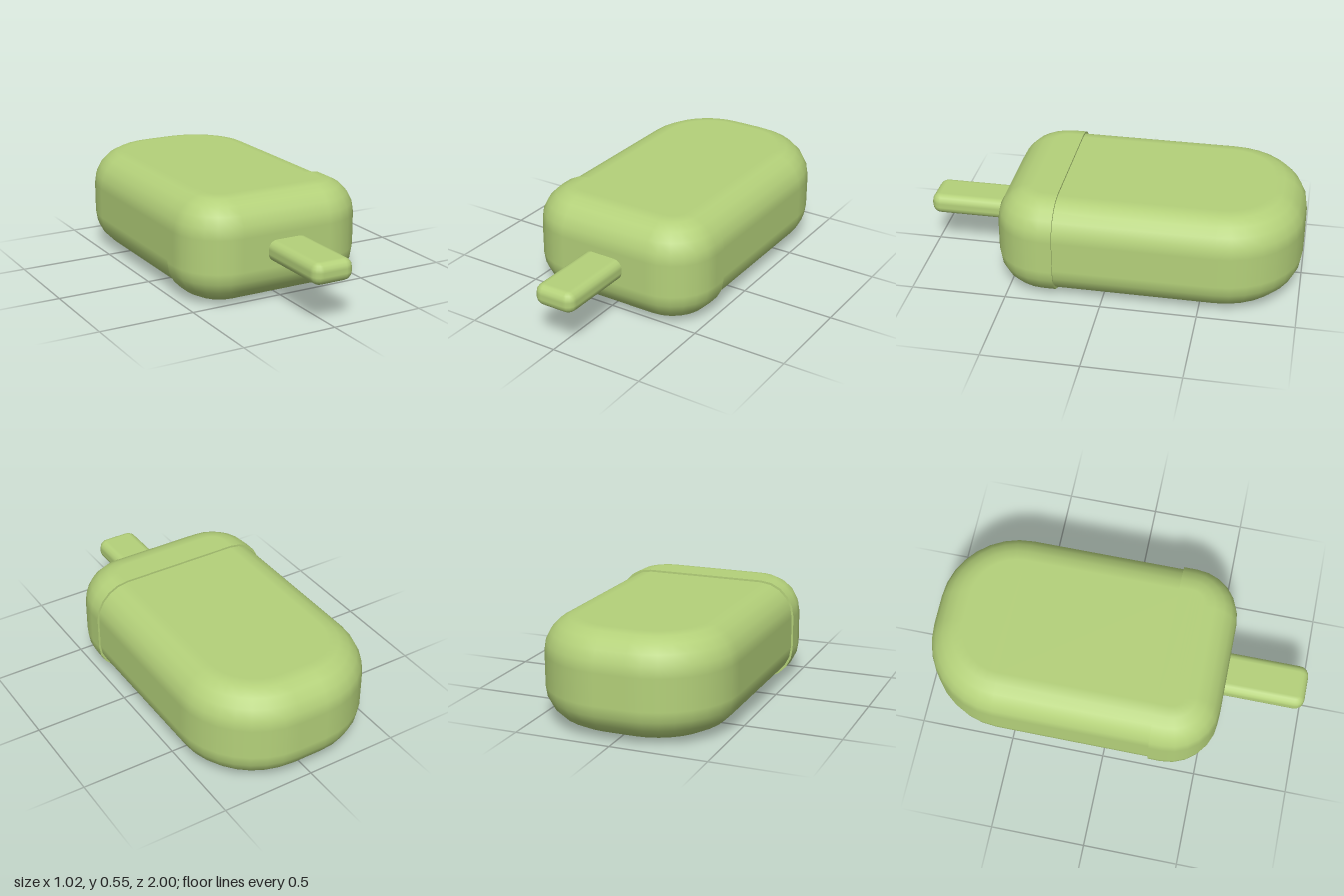
import * as THREE from 'three';

// Slab from z = 0 to z = L with a rounded far end.
// w, h: half width and half height; R: corner radius in plan; r: radius of the top and bottom edges.
function roundedSlab(w, h, L, R, r, planSteps, edgeSteps) {
  const pos = [], nor = [], idx = [];
  const quad = (a, b, c, d) => idx.push(a, b, c, a, c, d);
  const n = 2 * planSteps + 3; // index of the last point in each ring

  // Heights and plan insets, bottom to top
  const rows = [];
  for (const side of [-1, 1]) {
    for (let k = 0; k <= edgeSteps; k++) {
      const t = (side < 0 ? k - edgeSteps : k) / edgeSteps * Math.PI / 2;
      rows.push({ y: side * (h - r) + r * Math.sin(t), inset: r * (1 - Math.cos(t)), t });
    }
  }

  // U-shaped rings with matching smooth normals
  for (const { y, inset, t } of rows) {
    const add = (x, z, a) => {
      pos.push(x, y, z);
      nor.push(Math.cos(a) * Math.cos(t), Math.sin(t), Math.sin(a) * Math.cos(t));
    };
    add(w - inset, 0, 0);
    for (const side of [1, -1]) {
      for (let k = 0; k <= planSteps; k++) {
        const a = (k / planSteps + (side < 0 ? 1 : 0)) * Math.PI / 2;
        add(side * (w - R) + (R - inset) * Math.cos(a), L - R + (R - inset) * Math.sin(a), a);
      }
    }
    add(-(w - inset), 0, Math.PI);
  }
  const at = (i, j) => i * (n + 1) + j;
  const last = rows.length - 1;
  for (let i = 0; i < last; i++) {
    for (let j = 0; j < n; j++) quad(at(i, j), at(i + 1, j), at(i + 1, j + 1), at(i, j + 1));
  }

  // Flat top and bottom
  for (let j = 0; j < planSteps + 1; j++) {
    quad(at(last, j + 1), at(last, j), at(last, n - j), at(last, n - 1 - j));
    quad(at(0, n - 1 - j), at(0, n - j), at(0, j), at(0, j + 1));
  }

  // Flat end at z = 0
  const base = pos.length / 3;
  for (const { y, inset } of rows) {
    pos.push(w - inset, y, 0, inset - w, y, 0);
    nor.push(0, 0, -1, 0, 0, -1);
  }
  for (let i = 0; i < last; i++) {
    const b = base + 2 * i;
    quad(b, b + 1, b + 3, b + 2);
  }

  const geo = new THREE.BufferGeometry();
  geo.setAttribute('position', new THREE.Float32BufferAttribute(pos, 3));
  geo.setAttribute('normal', new THREE.Float32BufferAttribute(nor, 3));
  geo.setIndex(idx);
  return geo;
}

export function createModel() {
  const group = new THREE.Group();
  const material = new THREE.MeshStandardMaterial({ color: 0xb4d17a });
  const midY = 0.2725;
  const addPart = (name, geo, z) => {
    const mesh = new THREE.Mesh(geo, material);
    mesh.name = name;
    mesh.position.set(0, midY, z);
    group.add(mesh);
    return mesh;
  };

  // Long body, rounded toward the back, its flat end tucked into the cap
  addPart('body', roundedSlab(0.5, 0.262, 1.3, 0.42, 0.18, 8, 5), 0.3).rotation.y = Math.PI;

  // Slightly wider cap over the front end
  addPart('cap', roundedSlab(0.51, 0.2725, 0.33, 0.26, 0.185, 6, 5), 0.245);

  // Flat stick
  addPart('stick', roundedSlab(0.114, 0.056, 0.5, 0.05, 0.045, 4, 4), 0.5);

  return group;
}
